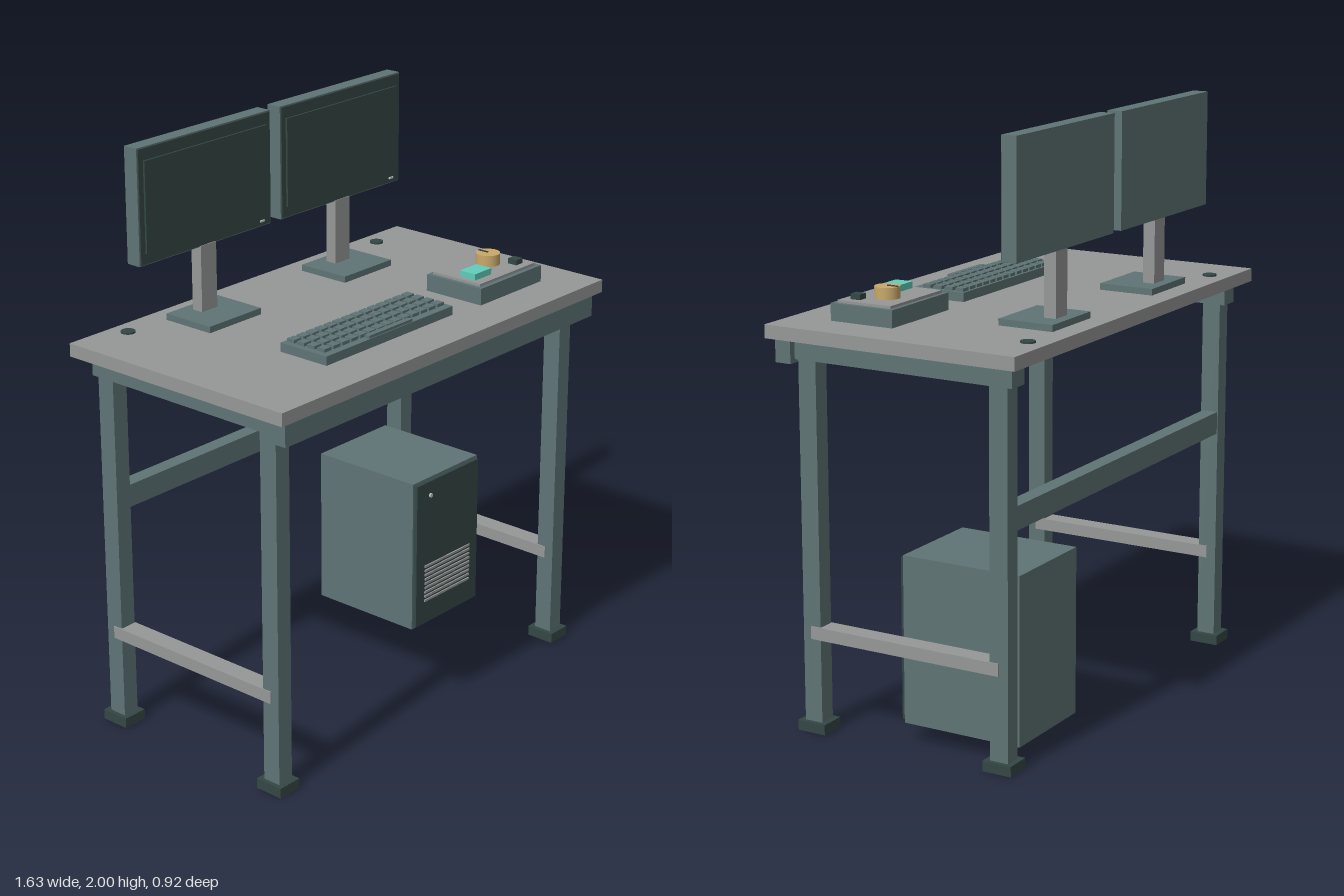
import * as THREE from 'three';

export function createModel() {
  const mat = (name, color) => {
    const m = new THREE.MeshStandardMaterial({ color });
    m.name = name;
    return m;
  };
  const slate = mat('slate', 0x5f7475);
  const grey = mat('grey', 0x969797);
  const dark = mat('dark', 0x344745);
  const teal = mat('teal', 0x62cdbc);
  const gold = mat('gold', 0xc9a96a);
  const pale = mat('pale', 0xb9c4c1);

  const model = new THREE.Group();
  model.name = 'workstation';
  const group = (name) => {
    const g = new THREE.Group();
    g.name = name;
    model.add(g);
    return g;
  };
  // Box given by its limits on each axis
  const box = (parent, name, material, [x0, x1], [y0, y1], [z0, z1]) => {
    const m = new THREE.Mesh(new THREE.BoxGeometry(x1 - x0, y1 - y0, z1 - z0), material);
    m.position.set((x0 + x1) / 2, (y0 + y1) / 2, (z0 + z1) / 2);
    m.name = name;
    parent.add(m);
    return m;
  };
  const disc = (parent, name, material, r, h, x, y, z) => {
    const m = new THREE.Mesh(new THREE.CylinderGeometry(r, r, h, 24), material);
    m.position.set(x, y, z);
    m.name = name;
    parent.add(m);
    return m;
  };
  const about = (c, half) => [c - half, c + half];

  // Desk: top, aprons, legs, feet and stretchers
  const desk = group('desk');
  box(desk, 'tableTop', grey, [-0.817, 0.817], [1.32, 1.365], [-0.46, 0.46]);
  box(desk, 'frontApron', slate, [-0.785, 0.785], [1.238, 1.32], [0.385, 0.443]);
  box(desk, 'rearRail', slate, [-0.7, 0.7], [0.783, 0.862], [-0.395, -0.34]);
  for (const s of [-1, 1]) {
    const x = s * 0.725;
    box(desk, 'sideApron', slate, about(x, 0.036), [1.25, 1.32], [-0.418, 0.385]);
    box(desk, 'sideStretcher', grey, about(x, 0.034), [0.32, 0.363], [-0.365, 0.345]);
    for (const z of [0.343, -0.365]) {
      box(desk, 'leg', slate, about(x, 0.03), [0.03, 1.32], about(z, 0.033));
      box(desk, 'foot', dark, about(x, 0.045), [0, 0.035], about(z, 0.052));
    }
    disc(desk, 'cableGrommet', dark, 0.024, 0.008, s * 0.622, 1.367, -0.392);
  }

  // Two monitors on stands
  for (const s of [-1, 1]) {
    const mon = group('monitor');
    const x = s * 0.333;
    box(mon, 'monitorBase', slate, about(x, 0.122), [1.365, 1.387], [-0.382, -0.185]);
    box(mon, 'monitorNeck', grey, about(x, 0.036), [1.387, 1.615], [-0.345, -0.302]);
    box(mon, 'monitorBody', slate, about(x, 0.308), [1.61, 2], [-0.363, -0.309]);
    box(mon, 'bezel', dark, about(x, 0.304), [1.614, 1.996], [-0.309, -0.305]);
    box(mon, 'screen', dark, about(x, 0.284), [1.65, 1.957], [-0.305, -0.298]);
    box(mon, 'statusLight', pale, about(x + 0.26, 0.01), [1.627, 1.633], [-0.305, -0.299]);
  }

  // Keyboard with a grid of keys and a space bar
  const keyboard = group('keyboard');
  box(keyboard, 'keyboardBody', slate, [-0.43, 0.2], [1.365, 1.396], [0.102, 0.296]);
  for (let row = 0; row < 4; row++) {
    for (let col = 0; col < 14; col++) {
      box(keyboard, 'key', slate, about(-0.392 + col * 0.0433, 0.0165), [1.396, 1.407],
        about(0.126 + row * 0.0425, 0.015));
    }
  }
  box(keyboard, 'spaceBar', slate, [-0.22, -0.005], [1.396, 1.406], [0.273, 0.293]);

  // Control box
  const control = group('controlBox');
  box(control, 'controlBody', slate, [0.333, 0.665], [1.365, 1.423], [0.077, 0.31]);
  box(control, 'controlPanel', grey, [0.348, 0.65], [1.423, 1.432], [0.092, 0.293]);
  box(control, 'display', teal, [0.367, 0.455], [1.432, 1.454], [0.193, 0.257]);
  disc(control, 'knob', gold, 0.042, 0.04, 0.54, 1.451, 0.176);
  box(control, 'knobPointer', dark, [0.536, 0.543], [1.471, 1.474], [0.136, 0.176]);
  box(control, 'button', dark, [0.585, 0.62], [1.432, 1.45], [0.228, 0.264]);

  // Computer tower
  const tower = group('computerTower');
  box(tower, 'towerCase', slate, [0.327, 0.687], [0.068, 0.635], [-0.4, 0.032]);
  box(tower, 'towerFront', dark, [0.335, 0.679], [0.077, 0.626], [0.032, 0.045]);
  for (let i = 0; i < 9; i++) {
    box(tower, 'vent', grey, [0.38, 0.633], about(0.168 + i * 0.0168, 0.004), [0.045, 0.05]);
  }
  const power = disc(tower, 'powerButton', pale, 0.008, 0.007, 0.407, 0.573, 0.048);
  power.rotation.x = Math.PI / 2;

  return model;
}
